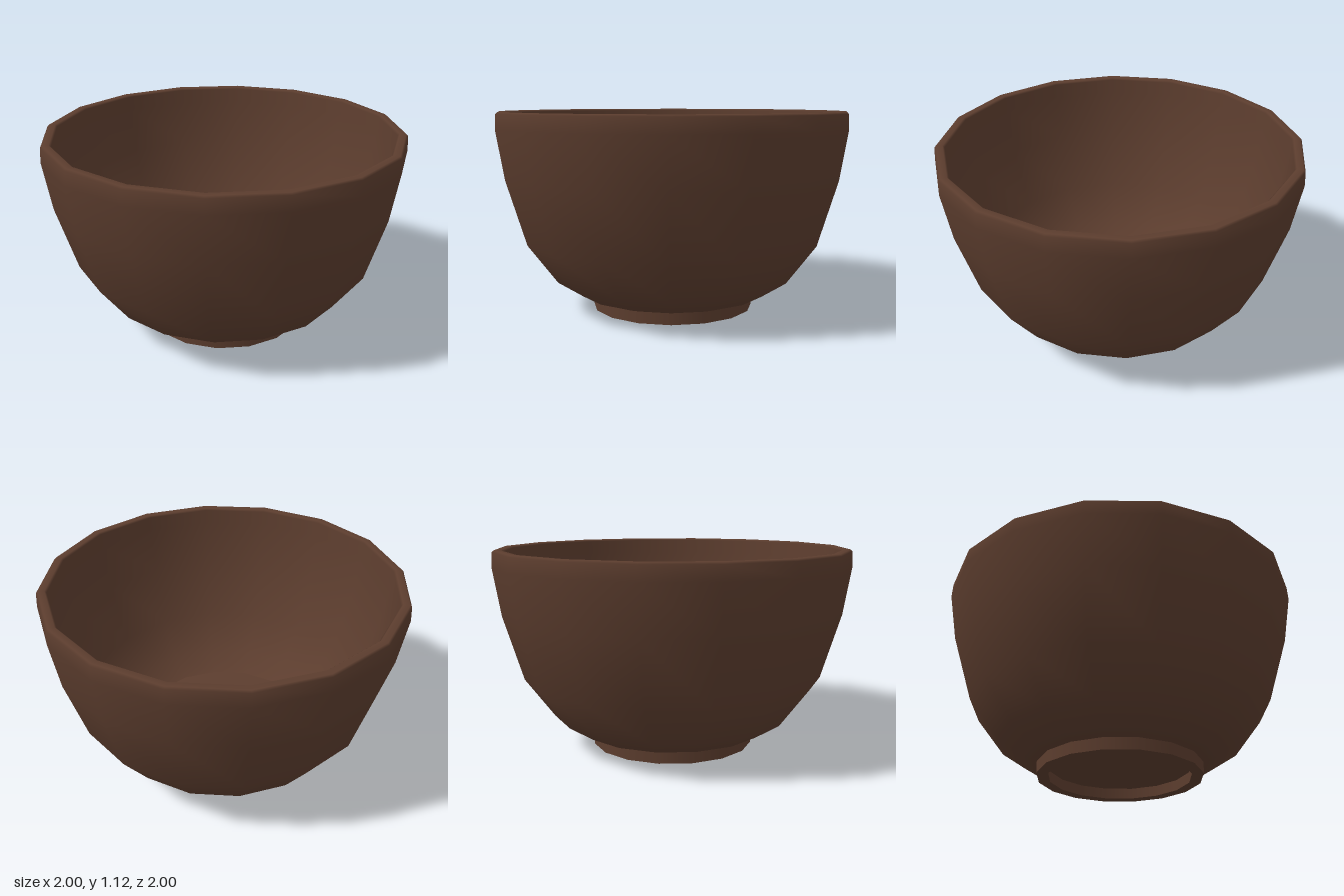
import * as THREE from 'three';

const SIDES = 16;

export function createModel() {
  const model = new THREE.Group();
  model.name = 'bowl';
  const brown = new THREE.MeshStandardMaterial({ color: 0x5c3d2e });
  brown.name = 'dark brown clay';

  const add = (name, geometry, y = 0) => {
    const mesh = new THREE.Mesh(geometry, brown);
    mesh.name = name;
    mesh.position.y = y;
    model.add(mesh);
  };
  const lathe = (points) =>
    new THREE.LatheGeometry(points.map(([r, y]) => new THREE.Vector2(r, y)), SIDES);
  const disc = (radius, up) =>
    new THREE.CircleGeometry(radius, SIDES).rotateX(up ? -Math.PI / 2 : Math.PI / 2);

  // Wall: up the outside, over the rounded rim and down the inside
  add('wall', lathe([
    [0.46, 0.065], [0.54, 0.09], [0.68, 0.18], [0.845, 0.4], [0.955, 0.76],
    [1, 1.03], [0.995, 1.11], [0.985, 1.12], [0.95, 1.12], [0.94, 1.11],
    [0.938, 1.03], [0.895, 0.77], [0.79, 0.43], [0.645, 0.225], [0.51, 0.15],
  ]));
  add('innerFloor', disc(0.51, true), 0.15);

  // Foot ring: separate strips keep its edges sharp
  add('footInside', lathe([[0.395, 0.06], [0.395, 0]]));
  add('footBase', lathe([[0.395, 0], [0.46, 0]]));
  add('footOutside', lathe([[0.46, 0], [0.46, 0.065]]));
  add('underside', disc(0.395, false), 0.06);

  return model;
}
